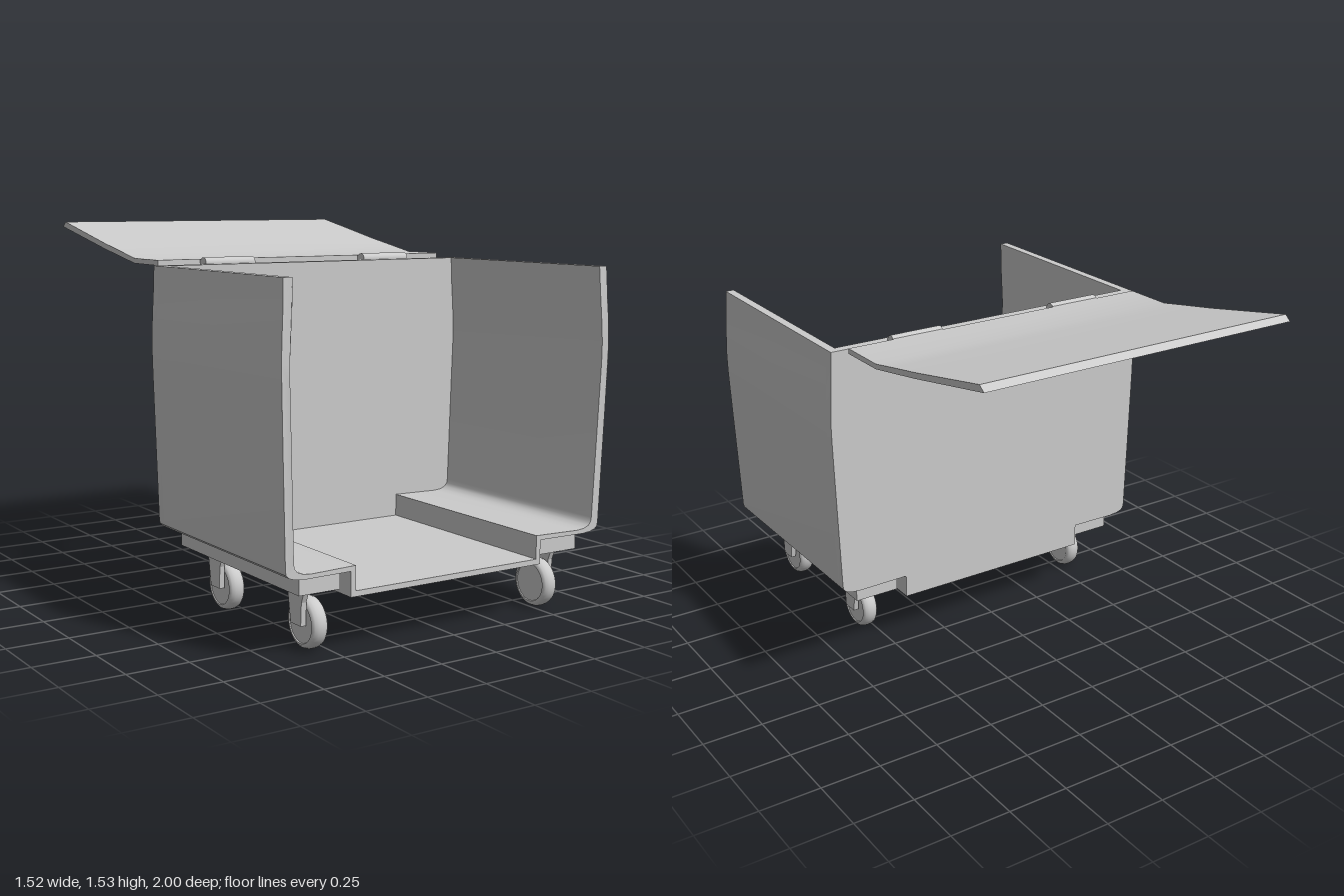
import * as THREE from 'three';
import { toCreasedNormals } from 'three/addons/utils/BufferGeometryUtils.js';

const material = new THREE.MeshStandardMaterial({ color: 0xcccccc });

function add(parent, name, geometry, x = 0, y = 0, z = 0) {
  const mesh = new THREE.Mesh(geometry, material);
  mesh.name = name;
  mesh.position.set(x, y, z);
  parent.add(mesh);
  return mesh;
}

// Extrude an outline of [x, y] points along z
function extrude(points, depth) {
  const shape = new THREE.Shape(points.map(([x, y]) => new THREE.Vector2(x, y)));
  return new THREE.ExtrudeGeometry(shape, { depth, bevelEnabled: false });
}

// Extrude an outline of [z, y] points along x, starting at x = 0
function extrudeX(points, depth) {
  return extrude(points.map(([z, y]) => [-z, y]), depth).rotateY(Math.PI / 2);
}

const mirror = (points) => points.map(([x, y]) => [-x, y]).reverse();

// Bulging side wall from the rim down to the rounded lower corner
const outerSide = [
  [0.747, 1.378], [0.751, 1.28], [0.757, 1.18], [0.761, 1.08], [0.76, 1.0], [0.754, 0.8],
  [0.74, 0.35], [0.737, 0.332], [0.725, 0.32], [0.7, 0.312], [0.66, 0.308],
];
const innerSide = [
  [0.71, 1.378], [0.714, 1.28], [0.721, 1.18], [0.727, 1.08], [0.726, 1.0], [0.719, 0.8],
  [0.705, 0.37], [0.702, 0.352], [0.69, 0.338], [0.665, 0.328], [0.63, 0.325],
];
// Sunken centre of the floor
const outerTrough = [[0.437, 0.31], [0.437, 0.213], [-0.462, 0.213], [-0.462, 0.31]];
const innerTrough = [[0.416, 0.33], [0.416, 0.235], [-0.441, 0.235], [-0.441, 0.33]];
const outer = [...outerSide, ...outerTrough, ...mirror(outerSide)];
const inner = [...innerSide, ...innerTrough, ...mirror(innerSide)];

function makeBody(parent) {
  const wall = 0.04;
  const shell = extrude([...outer, ...inner.slice().reverse()], 0.985 - wall).translate(0, 0, wall);
  // The front edge swells slightly at mid height
  const p = shell.attributes.position;
  for (let i = 0; i < p.count; i++) {
    if (p.getZ(i) > 0.5) {
      const t = (p.getY(i) - 1.02) / 0.4;
      p.setZ(i, 0.985 + 0.012 * Math.max(0, 1 - t * t));
    }
  }
  add(parent, 'sidesAndFloor', toCreasedNormals(shell, 0.6));
  add(parent, 'backWall', toCreasedNormals(extrude(outer, wall), 0.6));
}

function makeLid(parent) {
  const profile = [
    [-0.045, 1.375], [-0.045, 1.397], [-0.26, 1.397], [-0.4, 1.423], [-0.55, 1.45],
    [-0.973, 1.535], [-1, 1.513], [-0.55, 1.426], [-0.4, 1.4], [-0.26, 1.376],
  ];
  add(parent, 'lid', toCreasedNormals(extrudeX(profile, 1.4), 0.5), -0.707);
  // Hinge barrels along the rear rim
  for (const x of [-0.4, 0.375]) {
    add(parent, 'hinge', new THREE.CylinderGeometry(0.025, 0.025, 0.23, 24).rotateZ(Math.PI / 2), x, 1.38, -0.018);
    add(parent, 'hingeLeaf', new THREE.BoxGeometry(0.23, 0.016, 0.045), x, 1.388, -0.036);
  }
}

// Tyre section with rounded shoulders and a flat, slightly recessed hub
function makeWheelGeometry() {
  const pts = [
    [0, -0.029], [0.076, -0.029], [0.078, -0.033], [0.086, -0.032], [0.094, -0.025], [0.099, -0.012],
    [0.1, 0], [0.099, 0.012], [0.094, 0.025], [0.086, 0.032], [0.078, 0.033], [0.076, 0.029], [0, 0.029],
  ].map(([r, h]) => new THREE.Vector2(r, h));
  const g = new THREE.LatheGeometry(pts, 40).rotateZ(Math.PI / 2);
  return toCreasedNormals(g, 0.7);
}

function makeCasters(parent) {
  const wheel = makeWheelGeometry();
  const bracket = extrudeX([[-0.06, 0.24], [-0.052, 0.2], [-0.035, 0.1], [0.035, 0.1], [0.04, 0.19], [0.06, 0.24]], 0.022);
  const sides = [
    { name: 'right', rail: [-0.66, -0.484], bracketX: -0.61, wheelX: -0.553, dz: -0.008 },
    { name: 'left', rail: [0.461, 0.657], bracketX: 0.571, wheelX: 0.534, dz: 0.008 },
  ];
  for (const s of sides) {
    const [a, b] = s.rail;
    add(parent, s.name + 'Rail', new THREE.BoxGeometry(b - a, 0.073, 0.905), (a + b) / 2, 0.2745, 0.4925);
    for (const [end, z] of [['Front', 0.842], ['Rear', 0.231]]) {
      const caster = new THREE.Group();
      caster.name = s.name + end + 'Caster';
      parent.add(caster);
      add(caster, 'bracket', bracket, s.bracketX, 0, z);
      add(caster, 'wheel', wheel, s.wheelX, 0.1, z + s.dz);
    }
  }
}

export function createModel() {
  const group = new THREE.Group();
  group.name = 'wheeledBin';
  makeBody(group);
  makeLid(group);
  makeCasters(group);
  return group;
}
